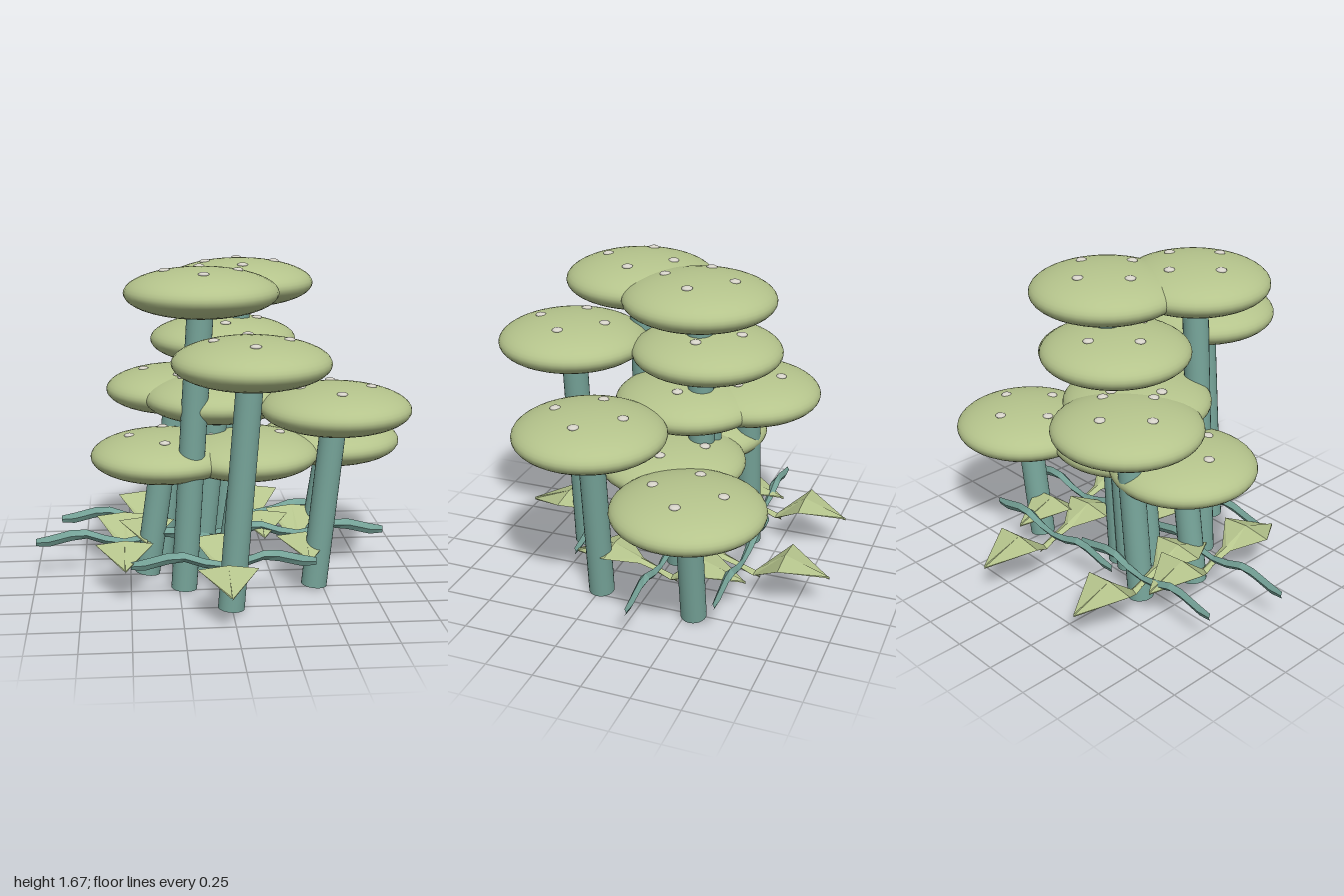
import * as THREE from 'three';

const paint = (name, color) => {
  const m = new THREE.MeshStandardMaterial({ color });
  m.name = name;
  return m;
};

// Leaf growing along +z; each section is [distance, height, halfWidth, halfThickness]
function leafGeometry(sections) {
  const pos = [], index = [];
  for (const [d, y, w, t] of sections) {
    pos.push(-w, y, d, 0, y + t, d, w, y, d, 0, y - t, d);
  }
  for (let i = 0; i < sections.length - 1; i++) {
    for (let j = 0; j < 4; j++) {
      const a = i * 4 + j, b = i * 4 + (j + 1) % 4, c = b + 4, e = a + 4;
      index.push(a, c, b, a, e, c);
    }
  }
  const indexed = new THREE.BufferGeometry();
  indexed.setAttribute('position', new THREE.Float32BufferAttribute(pos, 3));
  indexed.setIndex(index);
  const g = indexed.toNonIndexed();
  g.computeVertexNormals();
  return g;
}

export function createModel() {
  const root = new THREE.Group();
  root.name = 'mushroomCluster';
  const green = paint('capGreen', 0xb5c48c);
  const teal = paint('stemTeal', 0x76a499);
  const pale = paint('spotPale', 0xd6d3c9);

  const add = (parent, name, geometry, material) => {
    const mesh = new THREE.Mesh(geometry, material);
    mesh.name = name;
    parent.add(mesh);
    return mesh;
  };

  // Mushrooms: cap centre x, y, z; every stem leans toward +x
  const R = 0.385, H = 0.123, LEAN = 0.095;
  const capGeo = new THREE.SphereGeometry(1, 40, 24).scale(R, H, R);
  const spotGeo = new THREE.SphereGeometry(1, 12, 8).scale(0.028, 0.012, 0.028);
  const mushrooms = [
    [-0.13, 1.55, 0.235], [0.095, 1.55, -0.165],
    [0.09, 1.25, 0.53], [0.01, 1.25, -0.18],
    [0.55, 0.955, 0.24], [-0.23, 0.955, -0.325], [-0.03, 0.955, -0.07],
    [0.61, 0.66, -0.295], [-0.315, 0.66, -0.015], [0.12, 0.66, -0.03],
  ];
  for (const [x, y, z] of mushrooms) {
    const mushroom = new THREE.Group();
    mushroom.name = 'mushroom';
    root.add(mushroom);
    add(mushroom, 'cap', capGeo, green).position.set(x, y, z);

    const base = new THREE.Vector3(x - LEAN, 0.01, z);
    const dir = new THREE.Vector3(x, y, z).sub(base);
    const stem = add(mushroom, 'stem', new THREE.CylinderGeometry(0.067, 0.067, dir.length(), 24), teal);
    stem.position.copy(base).addScaledVector(dir, 0.5);
    stem.quaternion.setFromUnitVectors(new THREE.Vector3(0, 1, 0), dir.normalize());

    // Four spots resting on the cap
    const r = 0.18, top = H * Math.sqrt(1 - (r / R) ** 2);
    for (let k = 0; k < 4; k++) {
      const a = k * Math.PI / 2;
      add(mushroom, 'spot', spotGeo, pale)
        .position.set(x + r * Math.cos(a), y + top, z + r * Math.sin(a));
    }
  }

  // Ground sprigs: two broad green leaves along z, two slim teal leaves along x
  const broadFront = leafGeometry([
    [-0.1, 0.13, 0.01, 0.015], [0.1, 0.2, 0.03, 0.015],
    [0.25, 0.26, 0.15, 0.018], [0.465, 0.19, 0.002, 0.008],
  ]);
  const broadBack = leafGeometry([
    [-0.03, 0.17, 0.01, 0.015], [0.07, 0.135, 0.025, 0.015],
    [0.23, 0.26, 0.15, 0.018], [0.465, 0.19, 0.002, 0.008],
  ]);
  const slim = leafGeometry([
    [-0.02, 0.18, 0.012, 0.02], [0.1, 0.2, 0.02, 0.025], [0.2, 0.235, 0.025, 0.025],
    [0.28, 0.23, 0.018, 0.03], [0.4, 0.2, 0.015, 0.03], [0.47, 0.195, 0.008, 0.02],
  ]);
  const leaves = [
    ['broadLeaf', broadFront, green], ['slimLeaf', slim, teal],
    ['broadLeaf', broadBack, green], ['slimLeaf', slim, teal],
  ];
  const sprigs = [[-0.53, 0], [-0.41, -0.39], [0.22, -0.455], [-0.03, 0.4], [0.41, -0.07]];
  for (const [x, z] of sprigs) {
    const sprig = new THREE.Group();
    sprig.name = 'sprig';
    sprig.position.set(x, 0, z);
    root.add(sprig);
    leaves.forEach(([name, geo, mat], k) => {
      add(sprig, name, geo, mat).rotation.y = k * Math.PI / 2;
    });
  }
  return root;
}
